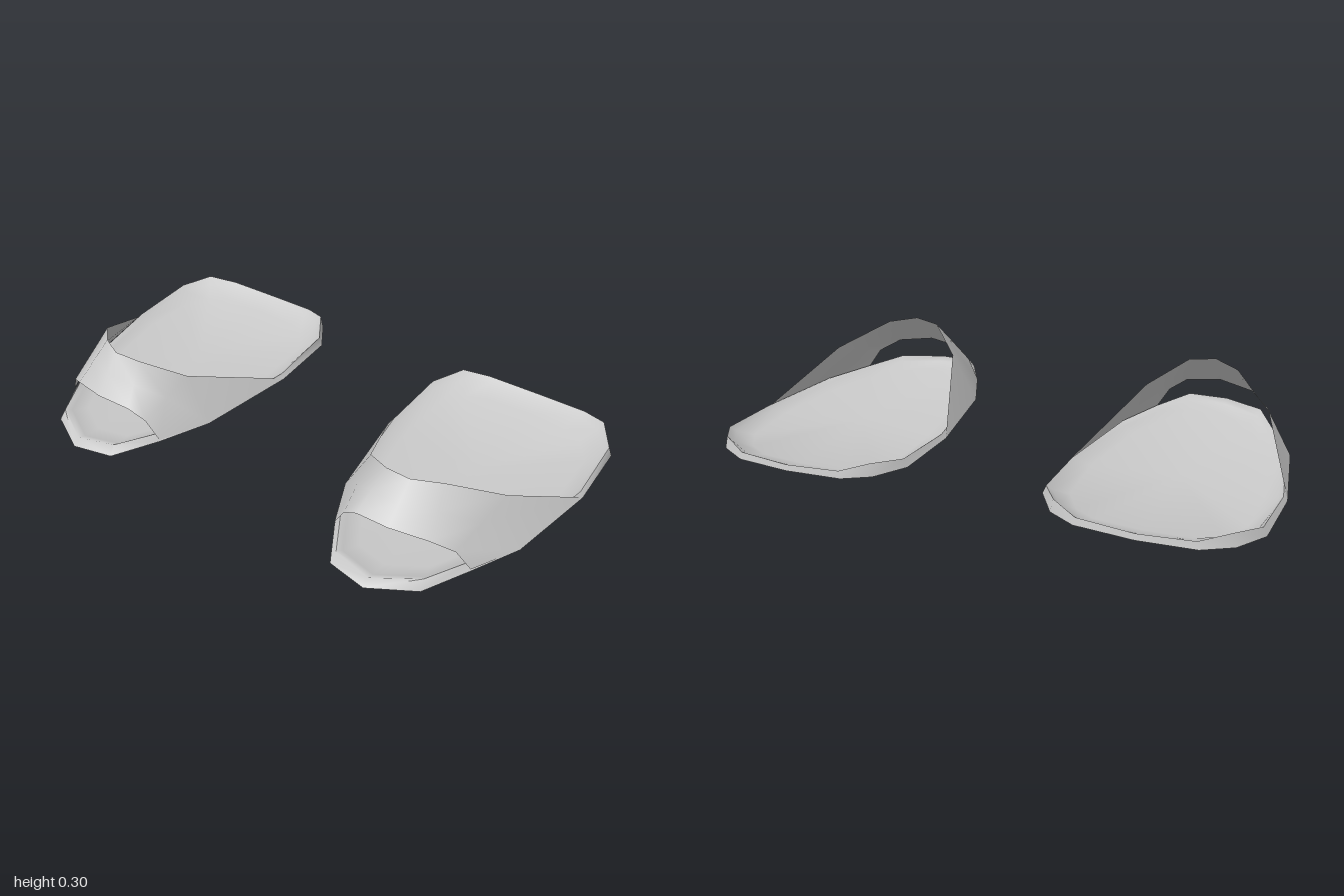
import * as THREE from 'three';
import { toCreasedNormals } from 'three/addons/utils/BufferGeometryUtils.js';

// Sole outline: x, z, height of the widest edge, height of the rim
const OUTLINE = [
  [1, -0.17, 0.043, 0.06], [0.94, 0.18, 0.043, 0.06], [0.855, 0.355, 0.042, 0.066],
  [0.77, 0.52, 0.04, 0.072], [0.615, 0.607, 0.039, 0.062], [0.47, 0.575, 0.039, 0.072],
  [0.38, 0.415, 0.042, 0.066], [0.3, 0.23, 0.043, 0.06], [0.24, -0.155, 0.043, 0.06],
  [0.25, -0.43, 0.045, 0.076], [0.322, -0.545, 0.046, 0.093], [0.418, -0.595, 0.043, 0.07],
  [0.625, -0.607, 0.04, 0.062], [0.82, -0.595, 0.043, 0.07], [0.92, -0.542, 0.046, 0.093],
  [0.99, -0.435, 0.045, 0.076],
];

// Strap edges from the outer side over the foot to the inner side: x, y, z
const STRAP_BACK = [
  [1, 0.045, -0.17], [0.86, 0.21, 0.145], [0.71, 0.292, 0.295], [0.615, 0.303, 0.35],
  [0.52, 0.293, 0.335], [0.395, 0.215, 0.225], [0.24, 0.045, -0.155],
];
const STRAP_FRONT = [
  [0.855, 0.05, 0.355], [0.812, 0.125, 0.385], [0.74, 0.166, 0.43], [0.61, 0.18, 0.464],
  [0.485, 0.166, 0.45], [0.425, 0.125, 0.43], [0.38, 0.05, 0.415],
];
const STRAP_BASE = [[0.94, 0.046, 0.18], [0.3, 0.046, 0.23]];

// side = 1 for the left foot, -1 for its mirror image
function build(points, faces, side) {
  const geo = new THREE.BufferGeometry();
  const pos = points.flatMap(([x, y, z]) => [x * side, y, z]);
  geo.setAttribute('position', new THREE.Float32BufferAttribute(pos, 3));
  geo.setIndex(faces.flatMap(([a, b, c]) => (side > 0 ? [a, b, c] : [a, c, b])));
  geo.computeVertexNormals();
  return geo;
}

function soleGeometry(side) {
  const cx = 0.62, cz = -0.1, n = OUTLINE.length;
  const under = (p, z) => 0.009 + 0.014 * z;
  const floor = (p, z) => 0.034 + 0.008 * z;
  // Rings from the middle of the underside, round the rim, to the middle of the footbed:
  // x scale, z scale, z shift, height
  const rings = [
    [0, 0, 0, under],
    [0.66, 0.68, 0, under],
    [1, 1, 0, (p) => p[2]],
    [0.965, 0.975, -0.009, (p) => p[3]],
    [0.92, 0.93, -0.009, (p) => p[3] * 0.6 + 0.012],
    [0.8, 0.82, 0, floor],
    [0, 0, 0, floor],
  ];
  const points = [], faces = [], last = rings.length - 1;
  rings.forEach(([sx, sz, shift, height], i) => {
    OUTLINE.forEach((p, j) => {
      const z = cz + (p[1] - cz) * sz + shift;
      points.push([cx + (p[0] - cx) * sx, height(p, z), z]);
      const a = i * n + j, b = i * n + ((j + 1) % n);
      if (i > 0 && i < last) faces.push([a, a + n, b]);
      if (i < last - 1) faces.push([b, a + n, b + n]);
    });
  });
  return toCreasedNormals(build(points, faces, side), 1.45);
}

function strapGeometry(side) {
  const points = [], faces = [], last = STRAP_BACK.length - 1;
  STRAP_BACK.forEach((back, i) => {
    const front = STRAP_FRONT[i];
    // The ends follow the sole outline, the rest runs straight from back to front
    const middle = i === 0 ? STRAP_BASE[0] : i === last ? STRAP_BASE[1]
      : back.map((v, k) => (v + front[k]) / 2);
    points.push(back, middle, front);
    if (i === last) return;
    for (let j = 0; j < 2; j++) {
      const a = i * 3 + j, b = a + 3;
      faces.push([a, b, b + 1], [a, b + 1, a + 1]);
    }
  });
  return build(points, faces, side);
}

export function createModel() {
  const model = new THREE.Group();
  model.name = 'slippers';
  const material = new THREE.MeshStandardMaterial({ color: 0xcccccc });
  const thin = new THREE.MeshStandardMaterial({ color: 0xcccccc, side: THREE.DoubleSide });

  for (const side of [1, -1]) {
    const slipper = new THREE.Group();
    slipper.name = side > 0 ? 'leftSlipper' : 'rightSlipper';

    const sole = new THREE.Mesh(soleGeometry(side), material);
    sole.name = 'sole';
    const strap = new THREE.Mesh(strapGeometry(side), thin);
    strap.name = 'footStrap';

    slipper.add(sole, strap);
    model.add(slipper);
  }
  return model;
}
